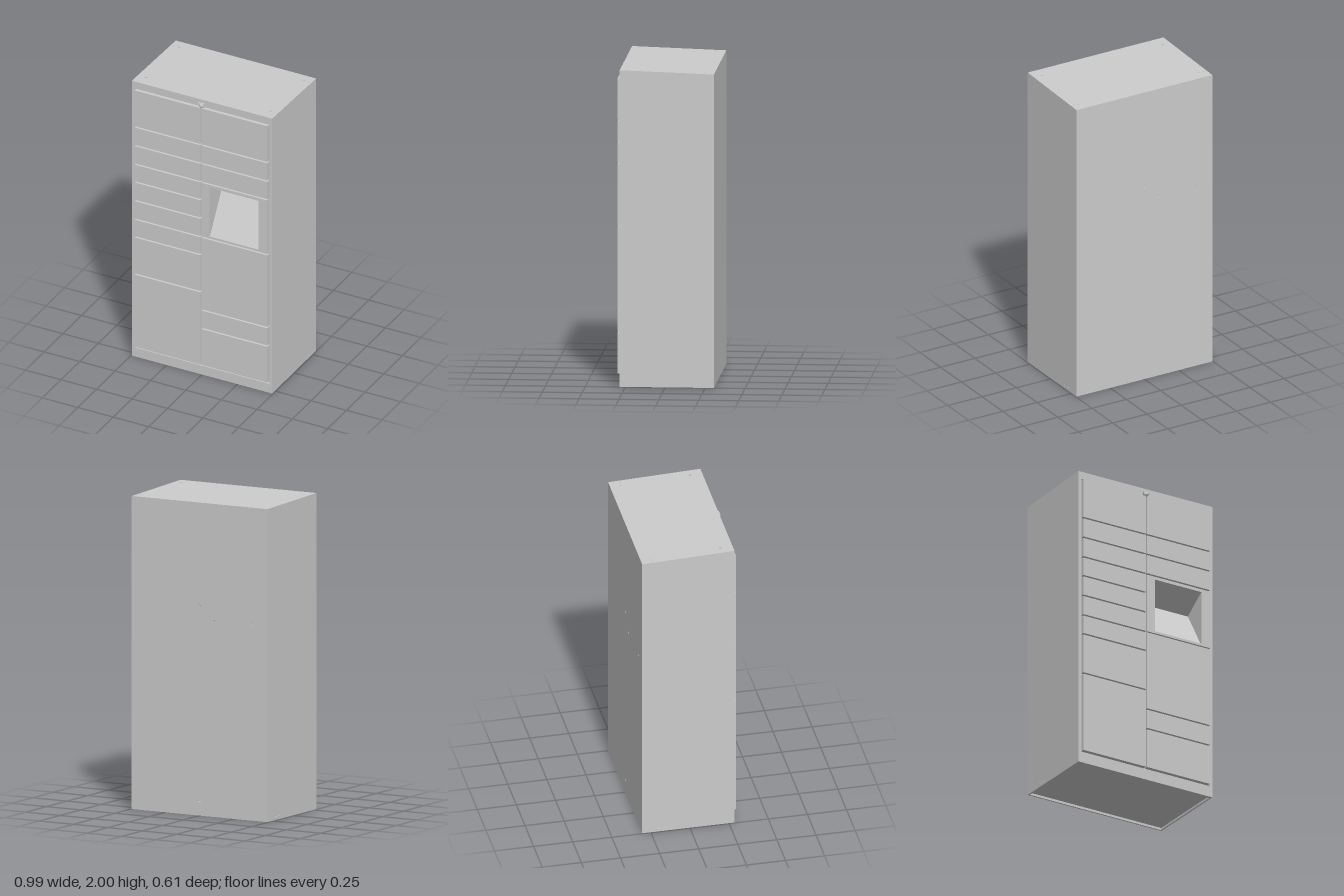
import * as THREE from 'three';

const W = 0.495, T = 0.01;               // half width, sheet thickness
const BACK = -0.305, FRONT = 0.285;      // body depth
const DOOR = 0.3;                        // door face
const mat = new THREE.MeshStandardMaterial({ color: 0xcccccc, side: THREE.DoubleSide });

function add(parent, name, geo) {
  const mesh = new THREE.Mesh(geo, mat);
  mesh.name = name;
  parent.add(mesh);
  return mesh;
}

function box(parent, name, x0, x1, y0, y1, z0, z1) {
  const mesh = add(parent, name, new THREE.BoxGeometry(x1 - x0, y1 - y0, z1 - z0));
  mesh.position.set((x0 + x1) / 2, (y0 + y1) / 2, (z0 + z1) / 2);
  return mesh;
}

const rect = (x0, x1, y0, y1) => [[x0, y0], [x1, y0], [x1, y1], [x0, y1]];

// Sheet from an outline, with polygon cut-outs and round holes [x, y, radius]
function sheet(outline, cutouts, holes, depth) {
  const v = (pts) => pts.map(([x, y]) => new THREE.Vector2(x, y));
  const shape = new THREE.Shape(v(outline));
  cutouts.forEach((c) => shape.holes.push(new THREE.Path(v(c).reverse())));
  holes.forEach(([x, y, r]) =>
    shape.holes.push(new THREE.Path().absarc(x, y, r, 0, Math.PI * 2, true)));
  return new THREE.ExtrudeGeometry(shape, { depth, bevelEnabled: false, curveSegments: 6 });
}

function buildCabinet() {
  const g = new THREE.Group();
  g.name = 'cabinet';

  // Side panels, top edge falling towards the back, with bolt holes
  const sideHoles = [[0.18, 1.965], [-0.2, 1.965]]
    .concat([0.18, 0.145, 0.11, -0.12, -0.16, -0.2].map((z) => [z, 0.025]))
    .map(([z, y]) => [-z, y, 0.007]);
  const profile = [[-FRONT, 0], [-BACK, 0], [-BACK, 1.98], [-FRONT, 2]];
  for (const s of [-1, 1]) {
    const geo = sheet(profile, [], sideHoles, T);
    geo.rotateY(Math.PI / 2);
    const side = add(g, s > 0 ? 'leftSide' : 'rightSide', geo);
    side.position.x = s > 0 ? W - T : -W;
  }

  // Sloping roof with lifting holes
  const roofHoles = [[0.475, 0.235, 0.005], [-0.475, 0.235, 0.005],
    [0.44, 0.24, 0.005], [-0.44, 0.24, 0.005], [0.44, -0.205, 0.008], [-0.44, -0.205, 0.008]];
  const roof = sheet(rect(-W + T, W - T, -FRONT, -BACK), [], roofHoles, T);
  roof.rotateX(-Math.PI / 2);
  const p = roof.attributes.position;
  for (let i = 0; i < p.count; i++) {
    p.setY(i, p.getY(i) + 2 - T - 0.02 * (FRONT - p.getZ(i)) / (FRONT - BACK));
  }
  roof.computeVertexNormals();
  add(g, 'roof', roof);

  // Back panel and recessed floor
  const backHoles = [[-0.38, 1.24], [-0.105, 1.24], [0, 1.33], [0, 0.09]].map((h) => [...h, 0.006]);
  add(g, 'backPanel', sheet(rect(-W + T, W - T, 0, 1.972), [], backHoles, T)).position.z = BACK;
  box(g, 'floor', -W + T, W - T, 0.015, 0.025, BACK + T, FRONT - 0.02);

  // Front frame round the doors, and the plate behind them
  const frame = sheet(rect(-W + T, W - T, 0, 1.999), [rect(-0.475, 0.475, 0.065, 1.95)], [], 0.02);
  add(g, 'frontFrame', frame).position.z = FRONT - 0.02;
  const plate = sheet(rect(-0.48, 0.48, 0.05, 1.96), [rect(0.03, 0.44, 1.025, 1.395)], [], 0.008);
  add(g, 'doorBackPlate', plate).position.z = FRONT - 0.023;
  return g;
}

function buildDoors() {
  const g = new THREE.Group();
  g.name = 'doors';
  const gap = 0.005;
  // Seam heights of each column; null skips the terminal bay
  const columns = [
    { name: 'rightDoor', x0: -0.468, x1: -0.004, seams: [0.075, 0.61, 0.88, 1.01, 1.145, 1.28, 1.41, 1.545, 1.68, 1.95] },
    { name: 'leftDoor', x0: 0.004, x1: 0.468, seams: [0.075, 0.345, 0.48, 1.01, 1.41, 1.545, 1.68, 1.95], bay: 3 },
  ];
  for (const { name, x0, x1, seams, bay } of columns) {
    for (let i = 0; i < seams.length - 1; i++) {
      if (i === bay) continue;
      box(g, name + (i + 1), x0, x1, seams[i] + gap, seams[i + 1] - gap, 0.272, DOOR);
    }
  }
  return g;
}

function buildTerminal() {
  const g = new THREE.Group();
  g.name = 'terminal';
  const x0 = 0.06, x1 = 0.407, y0 = 1.03, y1 = 1.385;

  // Flat surround with the screen opening
  const surround = sheet(rect(0.004, 0.468, 1.015, 1.405), [rect(x0, x1, y0, y1)], [], 0.014);
  add(g, 'screenSurround', surround).position.z = DOOR - 0.014;

  // Wedge recess: tilted screen, sloping hood and two cheeks
  const at = (x) => [[x, y0, 0.29], [x, 1.28, 0.14], [x, y1, 0.29]];
  const [a, b, c] = at(x0), [d, e, f] = at(x1);
  const faces = {
    screen: [a, d, e, a, e, b],
    hood: [b, e, f, b, f, c],
    rightCheek: [a, b, c],
    leftCheek: [d, f, e],
  };
  for (const [name, pts] of Object.entries(faces)) {
    const geo = new THREE.BufferGeometry();
    geo.setAttribute('position', new THREE.Float32BufferAttribute(pts.flat(), 3));
    geo.computeVertexNormals();
    add(g, name, geo);
  }
  return g;
}

// Small dome camera above the doors
function buildCamera() {
  const g = new THREE.Group();
  g.name = 'camera';
  box(g, 'cameraMount', -0.022, 0.022, 1.963, 1.977, FRONT - 0.005, 0.298);
  const dome = add(g, 'cameraDome', new THREE.SphereGeometry(0.018, 16, 10));
  dome.scale.z = 0.9;
  dome.position.set(0, 1.961, 0.289);
  return g;
}

export function createModel() {
  const model = new THREE.Group();
  model.name = 'parcelLocker';
  model.add(buildCabinet(), buildDoors(), buildTerminal(), buildCamera());
  return model;
}
